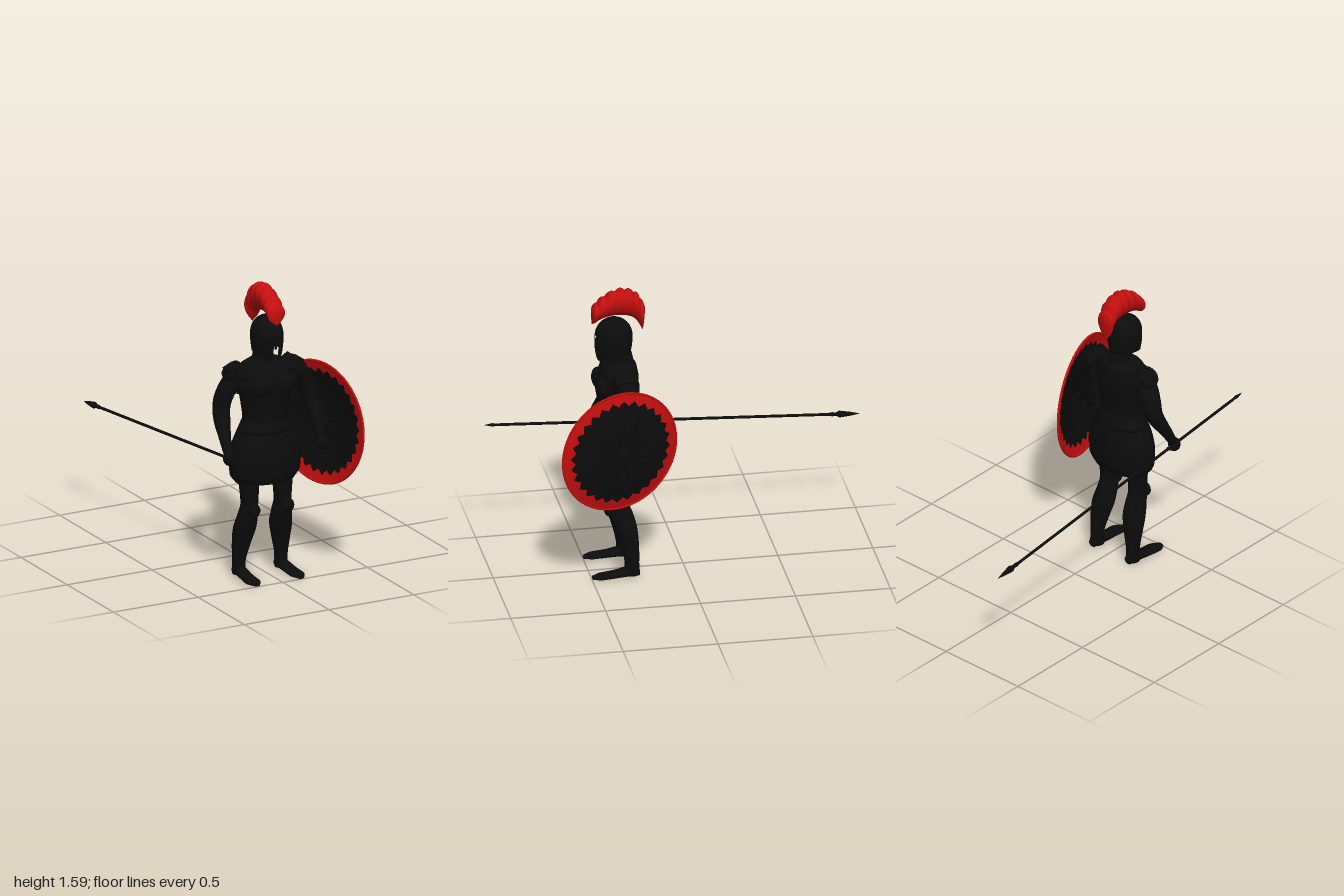
import * as THREE from 'three';

const mat = (name, color, side = THREE.FrontSide) => {
  const m = new THREE.MeshStandardMaterial({ color, side });
  m.name = name;
  return m;
};

// Closed smooth skin through horizontal rings [x, y, z, rx, rz], listed bottom to top
function loft(rings, sides = 24, steps = 5) {
  const mid = new THREE.CatmullRomCurve3(rings.map(r => new THREE.Vector3(r[0], r[1], r[2])));
  const rad = new THREE.CatmullRomCurve3(rings.map(r => new THREE.Vector3(r[3], r[4], 0)));
  const n = (rings.length - 1) * steps, pos = [], idx = [];
  for (let i = 0; i <= n; i++) {
    const c = mid.getPoint(i / n), r = rad.getPoint(i / n);
    for (let j = 0; j < sides; j++) {
      const a = j / sides * Math.PI * 2;
      pos.push(c.x + Math.cos(a) * r.x, c.y, c.z + Math.sin(a) * r.y);
    }
  }
  for (let i = 0; i < n; i++) for (let j = 0; j < sides; j++) {
    const a = i * sides + j, b = i * sides + (j + 1) % sides;
    idx.push(a, a + sides, b, b, a + sides, b + sides);
  }
  const top = n * sides;
  for (let j = 1; j < sides - 1; j++) idx.push(0, j, j + 1, top, top + j + 1, top + j);
  return finish(pos, idx);
}

function finish(pos, idx) {
  const g = new THREE.BufferGeometry();
  g.setAttribute('position', new THREE.Float32BufferAttribute(pos, 3));
  g.setIndex(idx);
  g.computeVertexNormals();
  return g;
}

// Open grid surface from fn(u, v); cells rejected by keep(u, v) become holes
function sheet(nu, nv, fn, keep = () => true) {
  const pos = [], idx = [];
  for (let i = 0; i <= nv; i++) for (let j = 0; j <= nu; j++) pos.push(...fn(j / nu, i / nv));
  for (let i = 0; i < nv; i++) for (let j = 0; j < nu; j++) {
    if (!keep((j + 0.5) / nu, (i + 0.5) / nv)) continue;
    const a = i * (nu + 1) + j, b = a + nu + 1;
    idx.push(a, b, a + 1, a + 1, b, b + 1);
  }
  return finish(pos, idx);
}

export function createModel() {
  const model = new THREE.Group();
  const black = mat('black armour', 0x0c0c0c);
  const blackSheet = mat('black plate', 0x0c0c0c, THREE.DoubleSide);
  const red = mat('red', 0xc40e0e, THREE.DoubleSide);
  const UP = new THREE.Vector3(0, 1, 0), CX = -0.02;
  const add = (name, geo, m = black, parent = model) => {
    const mesh = new THREE.Mesh(geo, m);
    mesh.name = name;
    parent.add(mesh);
    return mesh;
  };

  // Torso and tunic skirt
  add('cuirass', loft([
    [CX, 0.80, 0.34, 0.155, 0.115], [CX, 0.87, 0.345, 0.125, 0.095], [CX, 0.95, 0.345, 0.135, 0.1],
    [CX, 1.04, 0.345, 0.15, 0.112], [CX, 1.11, 0.34, 0.155, 0.105], [CX, 1.16, 0.335, 0.135, 0.09],
    [CX, 1.185, 0.33, 0.07, 0.065]], 32));
  add('skirt', loft([
    [CX, 0.525, 0.34, 0.165, 0.105], [CX, 0.57, 0.34, 0.197, 0.122], [CX, 0.65, 0.34, 0.202, 0.128],
    [CX, 0.73, 0.34, 0.187, 0.124], [CX, 0.80, 0.34, 0.155, 0.112], [CX, 0.87, 0.343, 0.122, 0.096]], 32));
  add('neck', loft([[CX, 1.14, 0.32, 0.075, 0.075], [CX, 1.19, 0.32, 0.055, 0.06], [CX, 1.27, 0.335, 0.05, 0.055]]));
  for (const s of [-1, 1]) {
    const chest = add('chestMuscle', new THREE.SphereGeometry(1, 20, 14));
    chest.scale.set(0.068, 0.055, 0.035);
    chest.position.set(CX + s * 0.062, 1.06, 0.432);
  }

  // Legs with greaves, knee guards and feet
  for (const s of [-1, 1]) {
    const x = o => CX + s * o;
    add('leg', loft([
      [x(0.124), 0.01, 0.288, 0.034, 0.036], [x(0.124), 0.08, 0.288, 0.034, 0.038],
      [x(0.117), 0.17, 0.298, 0.048, 0.048], [x(0.106), 0.27, 0.318, 0.06, 0.06],
      [x(0.1), 0.34, 0.338, 0.05, 0.062], [x(0.098), 0.40, 0.352, 0.043, 0.056],
      [x(0.098), 0.47, 0.352, 0.048, 0.056], [x(0.1), 0.60, 0.345, 0.06, 0.07]]));
    const knee = add('kneeGuard', new THREE.SphereGeometry(1, 16, 12));
    knee.scale.set(0.036, 0.04, 0.024);
    knee.position.set(x(0.1), 0.382, 0.407);
    const foot = loft([
      [x(0.124), 0.25, -0.024, 0.024, 0.022], [x(0.124), 0.30, -0.028, 0.034, 0.027],
      [x(0.128), 0.38, -0.018, 0.038, 0.018], [x(0.13), 0.45, -0.012, 0.042, 0.012],
      [x(0.13), 0.497, -0.008, 0.018, 0.008]]);
    add('foot', foot.rotateX(Math.PI / 2));
    // flared greave hem around the ankle
    for (let i = 0; i < 6; i++) {
      const a = i / 6 * Math.PI * 2;
      const flap = add('greaveHem', new THREE.ConeGeometry(0.014, 0.05, 4));
      flap.position.set(x(0.124) + Math.cos(a) * 0.033, 0.045, 0.288 + Math.sin(a) * 0.034);
      flap.rotation.set(Math.PI - Math.sin(a) * 0.3, 0, -Math.cos(a) * 0.3);
    }
  }

  // Arms
  add('rightArm', loft([
    [-0.287, 0.73, 0.435, 0.024, 0.026], [-0.284, 0.80, 0.395, 0.031, 0.034],
    [-0.274, 0.88, 0.345, 0.043, 0.046], [-0.262, 0.95, 0.315, 0.046, 0.05],
    [-0.24, 1.02, 0.315, 0.053, 0.056], [-0.198, 1.09, 0.325, 0.06, 0.062],
    [-0.155, 1.15, 0.33, 0.045, 0.055]]));
  add('leftArm', loft([
    [0.262, 0.73, 0.43, 0.024, 0.026], [0.265, 0.80, 0.395, 0.032, 0.034],
    [0.262, 0.88, 0.35, 0.042, 0.046], [0.25, 0.95, 0.325, 0.045, 0.05],
    [0.222, 1.03, 0.32, 0.053, 0.056], [0.175, 1.095, 0.325, 0.062, 0.062],
    [0.115, 1.15, 0.33, 0.045, 0.055]]));
  for (const [name, x] of [['rightHand', -0.288], ['leftHand', 0.262]]) {
    const hand = new THREE.Group();
    hand.name = name;
    hand.position.set(x, 0.708, 0.448);
    model.add(hand);
    add('palm', new THREE.SphereGeometry(1, 16, 12), black, hand).scale.set(0.032, 0.038, 0.034);
    for (let i = 0; i < 4; i++) {
      const finger = add('finger', new THREE.CapsuleGeometry(0.009, 0.028, 3, 8), black, hand);
      finger.position.set(0.01, -0.022, -0.024 + i * 0.016);
      finger.rotation.z = 1.2;
    }
  }

  // Layered shoulder flaps
  for (const s of [-1, 1]) {
    const shoulder = new THREE.Group();
    shoulder.name = 'shoulderGuard';
    shoulder.position.set(CX + s * 0.165, 1.115, 0.33);
    shoulder.rotation.z = -s * 0.65;
    model.add(shoulder);
    add('shoulderCap', new THREE.SphereGeometry(0.066, 20, 12), black, shoulder).scale.y = 0.8;
    for (let row = 0; row < 2; row++) for (let i = 0; i < 9; i++) {
      const a = i / 9 * Math.PI * 2 + row * 0.35;
      const pivot = new THREE.Group();
      pivot.rotation.y = a;
      shoulder.add(pivot);
      const flap = add('shoulderFlap', new THREE.BoxGeometry(0.01, 0.06, 0.034), black, pivot);
      flap.position.set(0.06 - row * 0.002, 0.018 - row * 0.06, 0);
      flap.rotation.z = 0.3;
    }
    const peak = add('shoulderPeak', new THREE.BoxGeometry(0.062, 0.012, 0.09));
    peak.position.set(CX + s * 0.185, 1.155, 0.325);
    peak.rotation.z = -s * 0.35;
  }

  // Head and open-faced helmet with eye holes and a mouth slit
  const head = add('head', new THREE.SphereGeometry(1, 24, 16));
  head.scale.set(0.064, 0.095, 0.07);
  head.position.set(CX, 1.315, 0.345);
  const helmet = sheet(64, 30, (u, v) => {
    const a = (u - 0.5) * Math.PI * 2, front = Math.cos(a);
    const bottom = 1.222 - 0.014 * front + 0.012 * Math.cos(2 * a + Math.PI);
    const y = bottom + (1.428 - bottom) * v;
    const t = Math.max(0, (y - 1.325) / 0.103), low = Math.max(0, (1.325 - y) / 0.11);
    const k = Math.sqrt(Math.max(0, 1 - t * t)) * (1 - 0.14 * low * low);
    return [CX + Math.sin(a) * 0.083 * k, y, 0.362 + front * 0.099 * k * (front > 0 ? 1 + 0.08 * low : 1)];
  }, (u, v) => {
    const a = Math.abs(u - 0.5) * Math.PI * 2;
    const eye = a > 0.14 && a < 0.85 && v > 0.42 && v < 0.61;
    return !eye && !(a < 0.16 && v < 0.3) && !(a > 0.1 && a < 0.24 && v < 0.45);
  });
  add('helmet', helmet, blackSheet);

  // Crest: a scalloped fan over the helmet, swept from brow to nape
  const lower = new THREE.CatmullRomCurve3([[0.478, 1.392], [0.42, 1.42], [0.34, 1.43], [0.26, 1.41], [0.208, 1.335]]
    .map(p => new THREE.Vector3(0, p[1], p[0])));
  const upper = new THREE.CatmullRomCurve3([[0.482, 1.485], [0.42, 1.55], [0.325, 1.59], [0.245, 1.565], [0.196, 1.485]]
    .map(p => new THREE.Vector3(0, p[1], p[0])));
  add('crest', sheet(36, 72, (u, v) => {
    const e = Math.min(v, 1 - v), end = Math.min(1, Math.sqrt(e / 0.05));
    const bump = Math.abs(Math.sin(v * Math.PI * 7)), a = u * Math.PI * 2;
    const p = lower.getPoint(v).lerp(upper.getPoint(v), 0.5 + 0.5 * Math.cos(a) * (0.84 + 0.16 * bump * (Math.cos(a) > 0 ? 1.1 : 0)));
    const w = (0.05 + 0.012 * Math.cos(a)) * (0.9 + 0.1 * bump) * end;
    return [CX + Math.sin(a) * w, p.y, p.z];
  }), red);

  // Shield: domed disc with a toothed red border
  const shield = new THREE.Group();
  shield.name = 'shield';
  shield.position.set(0.275, 0.8, 0.385);
  shield.quaternion.setFromUnitVectors(UP, new THREE.Vector3(0.96, -0.02, -0.28).normalize());
  model.add(shield);
  const R = 0.328, TEETH = 28, dome = r => 0.042 * (1 - (r / R) ** 2);
  const tooth = u => 0.262 + 0.026 * Math.abs(((u * TEETH) % 1) * 2 - 1);
  const disc = (inner, outer, rows) => sheet(TEETH * 4, rows, (u, v) => {
    const r = inner(u) + (outer(u) - inner(u)) * v, a = u * Math.PI * 2;
    return [Math.cos(a) * r, dome(r), Math.sin(a) * r];
  });
  add('shieldFace', disc(() => 0, tooth, 10), blackSheet, shield);
  add('shieldBorder', disc(tooth, () => R, 4), red, shield);
  add('shieldRim', new THREE.TorusGeometry(R, 0.006, 8, 96).rotateX(Math.PI / 2), red, shield);
  add('shieldBoss', new THREE.SphereGeometry(0.035, 20, 12), black, shield).position.y = 0.03;
  for (let i = 0; i < 12; i++) {
    const ray = new THREE.ConeGeometry(0.014, 0.19, 4).rotateZ(-Math.PI / 2).scale(1, 0.4, 1);
    ray.translate(0.125, 0.039, 0).rotateY(i / 12 * Math.PI * 2);
    add('shieldRay', ray, black, shield);
  }

  // Spear: shaft, leaf blade at one end and a spike at the other
  const tip = new THREE.Vector3(-0.36, 0.603, -1), butt = new THREE.Vector3(-0.265, 0.752, 1);
  const L = tip.distanceTo(butt);
  const profile = [[0, 0], [0.004, 0.02], [0.009, 0.045], [0.006, 0.07], [0.0075, 0.09], [0.0075, L - 0.17],
    [0.011, L - 0.15], [0.009, L - 0.13], [0.018, L - 0.11], [0.01, L - 0.05], [0, L]];
  const spear = add('spear', new THREE.LatheGeometry(profile.map(p => new THREE.Vector2(...p)), 12));
  spear.position.copy(butt);
  spear.quaternion.setFromUnitVectors(UP, tip.clone().sub(butt).normalize());

  return model;
}
